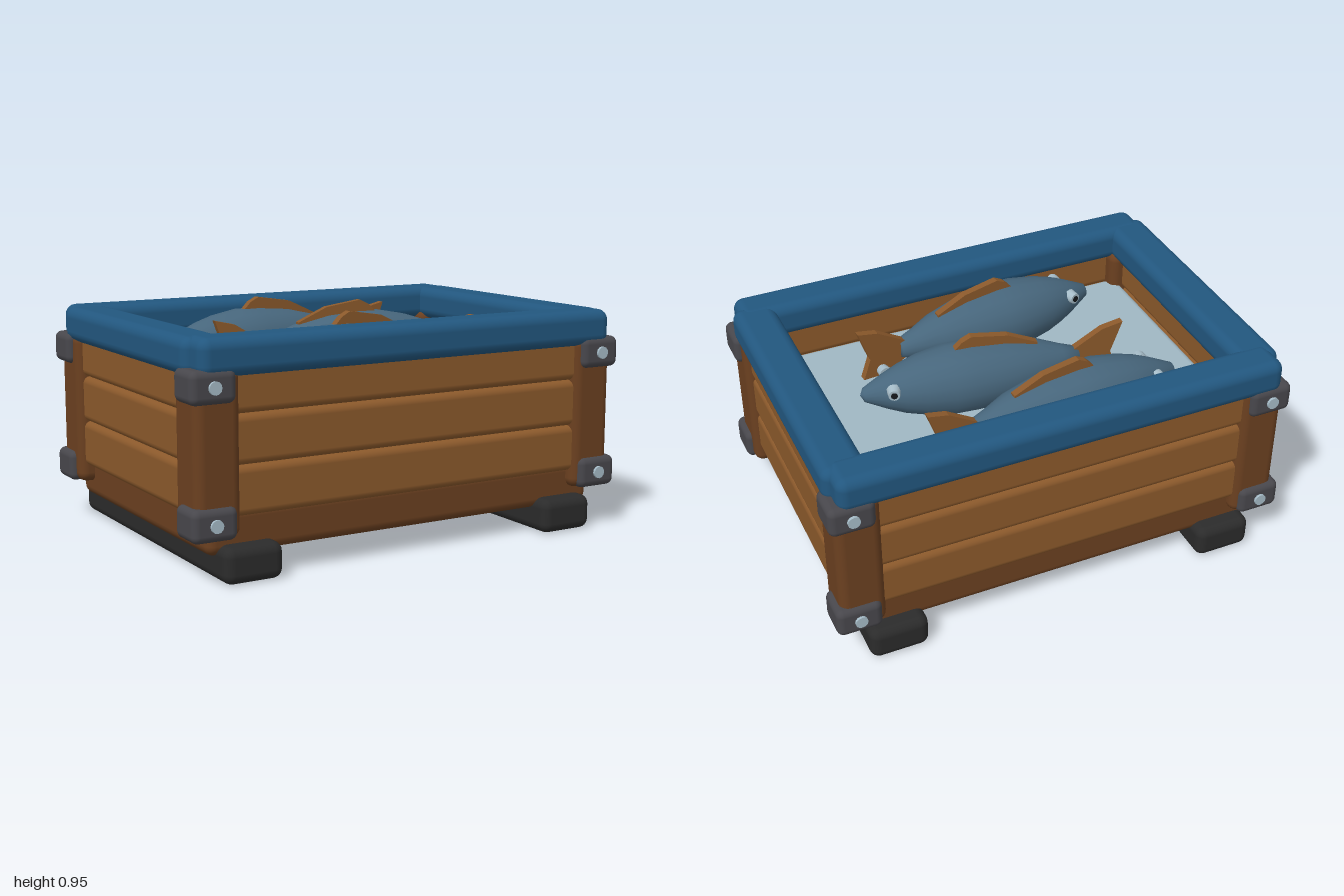
import * as THREE from 'three';
import { RoundedBoxGeometry } from 'three/addons/geometries/RoundedBoxGeometry.js';

const paint = (name, color) => {
  const m = new THREE.MeshStandardMaterial({ color });
  m.name = name;
  return m;
};

export function createModel() {
  const plankWood = paint('plank wood', 0x8b592b);
  const darkWood = paint('dark wood', 0x6b4020);
  const blue = paint('blue rail', 0x22577f);
  const iron = paint('iron', 0x48474c);
  const rubber = paint('black rubber', 0x2b2b2b);
  const ice = paint('ice', 0xa0b7c3);
  const steel = paint('steel', 0xa6bcc8);
  const fishSkin = paint('fish skin', 0x47667c);
  const pupilBlack = paint('pupil black', 0x15181b);

  const model = new THREE.Group();
  model.name = 'fishCrate';

  const add = (parent, name, geometry, material, x = 0, y = 0, z = 0) => {
    const mesh = new THREE.Mesh(geometry, material);
    mesh.name = name;
    mesh.position.set(x, y, z);
    parent.add(mesh);
    return mesh;
  };
  // Rounded box given by its lower and upper corners
  const block = (name, mat, [x0, x1], [y0, y1], [z0, z1], r) =>
    add(model, name, new RoundedBoxGeometry(x1 - x0, y1 - y0, z1 - z0, 3, r), mat,
      (x0 + x1) / 2, (y0 + y1) / 2, (z0 + z1) / 2);
  const span = (s, a, b) => (s > 0 ? [a, b] : [-b, -a]);

  // Base and ice bed
  block('base', darkWood, [-0.91, 0.91], [0.1, 0.28], [-0.63, 0.63], 0.04);
  block('iceBed', ice, [-0.84, 0.84], [0.26, 0.66], [-0.56, 0.56], 0.03);

  const rows = [[0.25, 0.445], [0.445, 0.64], [0.64, 0.83]];
  for (const s of [1, -1]) {
    // Runners under the short sides
    block('runner', rubber, span(s, 0.62, 0.87), [0, 0.145], [-0.705, 0.705], 0.04);

    // Wall planks
    for (const row of rows) {
      block('longPlank', plankWood, [-0.88, 0.88], row, span(s, 0.55, 0.66), 0.03);
      block('shortPlank', plankWood, span(s, 0.84, 0.95), row, [-0.6, 0.6], 0.03);
    }

    // Top rails
    block('longRail', blue, [-0.957, 0.957], [0.785, 0.935], span(s, 0.52, 0.695), 0.045);
    block('shortRail', blue, span(s, 0.8, 0.985), [0.785, 0.932], [-0.61, 0.61], 0.045);

    // Corner posts with brackets and bolts
    for (const t of [1, -1]) {
      block('cornerPost', darkWood, span(s, 0.785, 0.975), [0.175, 0.82], span(t, 0.485, 0.68), 0.04);
      for (const y of [0.24, 0.755]) {
        block('bracket', iron, span(s, 0.81, 1), [y - 0.065, y + 0.065], span(t, 0.535, 0.7), 0.03);
        const bolt = add(model, 'bolt', new THREE.CylinderGeometry(0.026, 0.026, 0.03, 12), steel,
          s * 0.905, y, t * 0.696);
        bolt.rotation.x = Math.PI / 2;
      }
    }
  }

  // Fish: head towards -x, tail towards +x
  const profile = [[0, -0.475], [0.04, -0.475], [0.065, -0.4], [0.105, -0.3], [0.14, -0.15],
    [0.153, 0], [0.152, 0.1], [0.13, 0.22], [0.105, 0.3], [0.075, 0.37], [0.03, 0.46], [0, 0.475]];
  const bodyGeo = new THREE.LatheGeometry(profile.map(([r, t]) => new THREE.Vector2(r, t)), 18);
  bodyGeo.rotateZ(Math.PI / 2);

  const fin = (points) => {
    const shape = new THREE.Shape(points.map(([x, y]) => new THREE.Vector2(x, y)));
    const geo = new THREE.ExtrudeGeometry(shape, { depth: 0.032, bevelEnabled: false });
    return geo.translate(0, 0, -0.016);
  };
  const dorsalGeo = fin([[-0.1, 0.12], [0.29, 0.08], [0.29, 0.115], [0.16, 0.175], [0, 0.2], [-0.04, 0.18]]);
  const tailGeo = fin([[0.44, -0.035], [0.58, -0.12], [0.67, -0.14], [0.62, 0],
    [0.67, 0.14], [0.58, 0.12], [0.44, 0.035]]);
  const eyeGeo = new THREE.CylinderGeometry(0.024, 0.03, 0.04, 14).rotateX(Math.PI / 2);
  const pupilGeo = new THREE.CylinderGeometry(0.014, 0.014, 0.006, 12).rotateX(Math.PI / 2);

  const addFish = (x, z, yaw) => {
    const fish = new THREE.Group();
    fish.name = 'fish';
    fish.position.set(x, 0.755, z);
    fish.rotation.y = yaw;
    add(fish, 'fishBody', bodyGeo, fishSkin);
    add(fish, 'dorsalFin', dorsalGeo, plankWood);
    add(fish, 'tailFin', tailGeo, plankWood);
    for (const s of [1, -1]) {
      const eye = new THREE.Group();
      eye.name = 'eye';
      eye.position.set(-0.35, 0.04, s * 0.08);
      eye.rotation.y = s > 0 ? -0.2 : Math.PI + 0.2;
      add(eye, 'eyeball', eyeGeo, steel);
      add(eye, 'pupil', pupilGeo, pupilBlack, 0, 0, 0.021);
      fish.add(eye);
    }
    model.add(fish);
  };
  addFish(-0.185, -0.345, 0.05);
  addFish(0.145, -0.02, Math.PI - 0.105);
  addFish(-0.125, 0.335, 0.105);

  return model;
}
